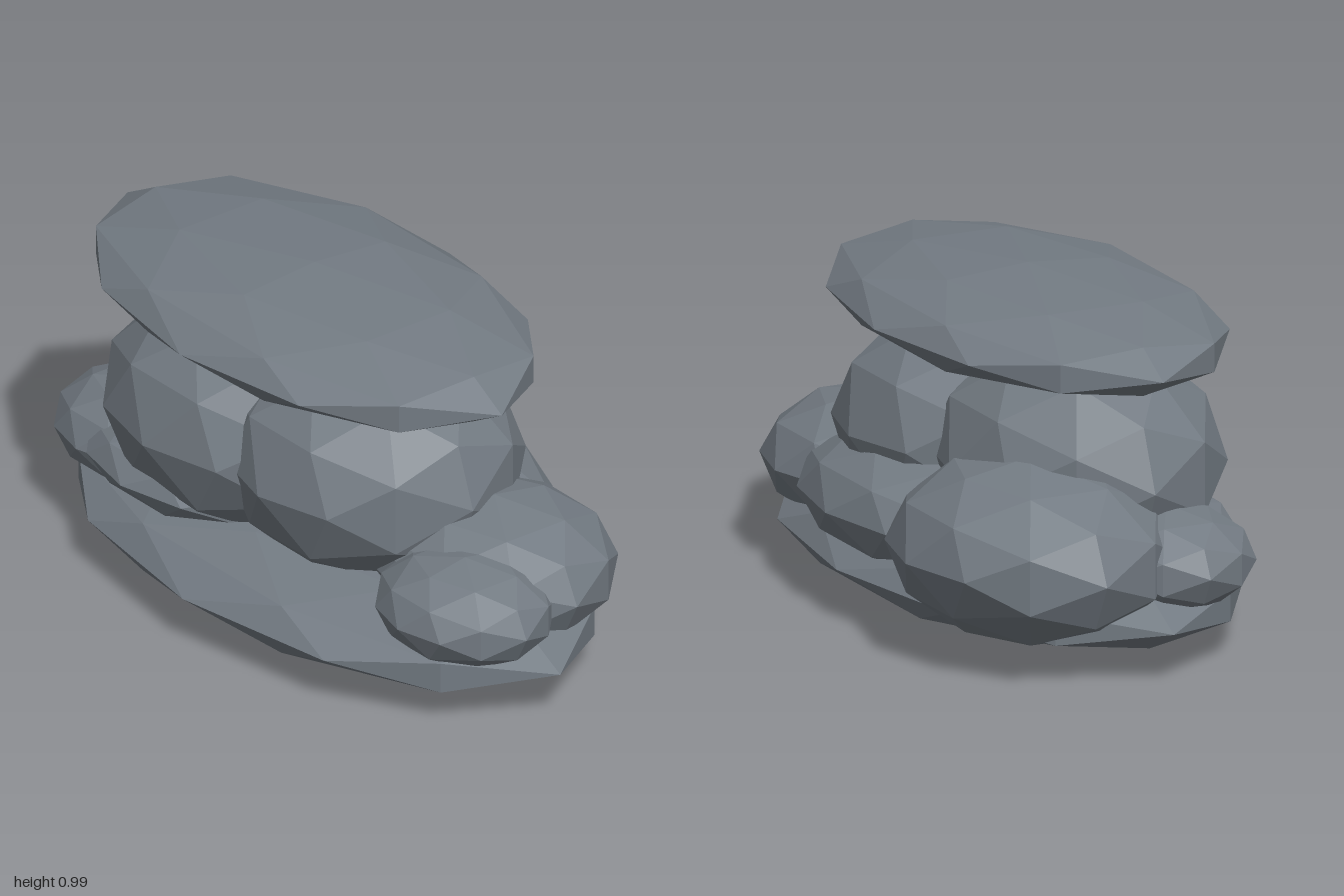
import * as THREE from 'three';

const stone = new THREE.MeshStandardMaterial({ color: 0x737b83, flatShading: true });
stone.name = 'slate grey stone';

// Faceted boulder: a once-divided icosahedron squashed to the given radii
function boulder(name, [x, y, z], [rx, ry, rz]) {
  const geometry = new THREE.IcosahedronGeometry(1, 1);
  geometry.rotateX(-Math.PI / 2);
  geometry.scale(rx, ry, rz);
  geometry.computeVertexNormals();
  const mesh = new THREE.Mesh(geometry, stone);
  mesh.name = name;
  mesh.position.set(x, y, z);
  return mesh;
}

export function createModel() {
  const model = new THREE.Group();
  model.name = 'stackedRocks';
  const rocks = [
    // Flat slabs below and on top
    ['baseSlab', [0, 0.15, 0.02], [1, 0.147, 0.545]],
    ['capSlab', [-0.093, 0.86, 0.023], [0.836, 0.133, 0.478]],
    // Two large core boulders carrying the cap
    ['coreBoulderRight', [-0.287, 0.485, 0.08], [0.48, 0.335, 0.4]],
    ['coreBoulderLeft', [0.145, 0.485, 0], [0.44, 0.335, 0.415]],
    // Smaller boulders around the core
    ['backBoulderRight', [-0.525, 0.31, -0.185], [0.47, 0.26, 0.39]],
    ['backBoulderMiddle', [0.06, 0.3, -0.2], [0.52, 0.19, 0.33]],
    ['sideBoulderLeft', [0.545, 0.285, -0.107], [0.37, 0.2, 0.335]],
    ['frontBoulderRight', [-0.685, 0.28, 0.155], [0.275, 0.15, 0.245]],
    ['frontBoulderLeft', [0.7, 0.28, 0.12], [0.275, 0.148, 0.24]],
    ['frontBoulderMiddle', [-0.41, 0.3, 0.15], [0.4, 0.125, 0.31]],
  ];
  for (const [name, position, radii] of rocks) model.add(boulder(name, position, radii));
  return model;
}
